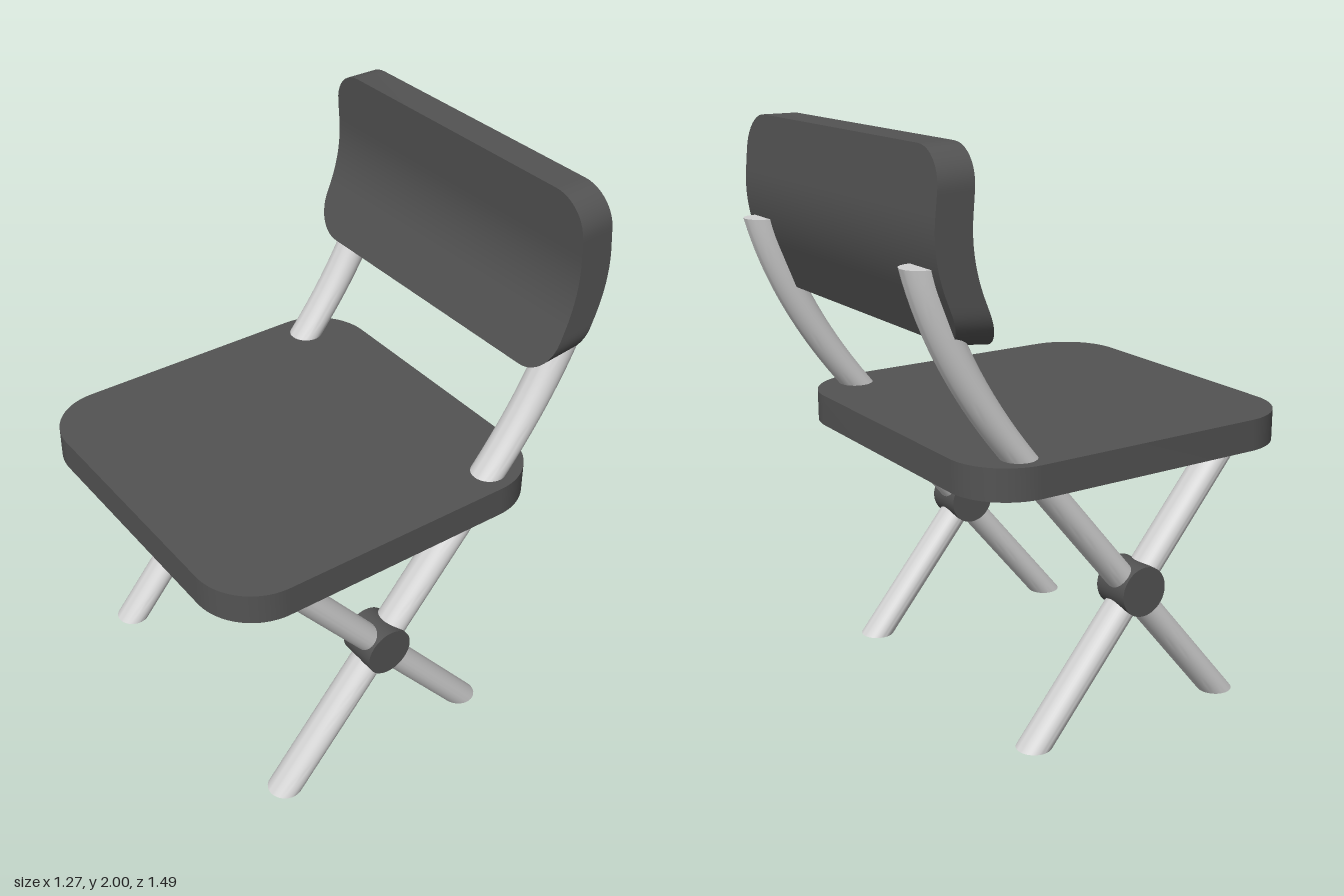
import * as THREE from 'three';
import { toCreasedNormals } from 'three/addons/utils/BufferGeometryUtils.js';

const HALF_WIDTH = 0.637;

// Tube with horizontal circular sections whose centre follows z = path(y)
function sweptPole(y0, y1, segments, path) {
  const geo = new THREE.CylinderGeometry(0.061, 0.061, y1 - y0, 40, segments);
  geo.translate(0, (y0 + y1) / 2, 0);
  const pos = geo.attributes.position;
  for (let i = 0; i < pos.count; i++) pos.setZ(i, pos.getZ(i) + path(pos.getY(i)));
  return toCreasedNormals(geo, 0.7);
}

// Long pole: straight leg up to the seat, then bending upright behind the backrest
function longPolePath(y) {
  const u = Math.max(0, y - 1);
  return 0.5 - 0.829 * y + 0.433 * u * u;
}

// Short pole: straight leg leaning the other way
const shortPolePath = (y) => -0.28 + 0.832 * y;

// Seat slab with rounded corners
function seatGeometry() {
  const w = HALF_WIDTH, z0 = -0.527, z1 = 0.745, r = 0.21;
  const s = new THREE.Shape();
  s.moveTo(-w + r, -z1);
  s.lineTo(w - r, -z1);
  s.absarc(w - r, -z1 + r, r, -Math.PI / 2, 0);
  s.lineTo(w, -z0 - r);
  s.absarc(w - r, -z0 - r, r, 0, Math.PI / 2);
  s.lineTo(-w + r, -z0);
  s.absarc(-w + r, -z0 - r, r, Math.PI / 2, Math.PI);
  s.lineTo(-w, -z1 + r);
  s.absarc(-w + r, -z1 + r, r, Math.PI, Math.PI * 1.5);
  const geo = new THREE.ExtrudeGeometry(s, { depth: 0.11, bevelEnabled: false, curveSegments: 14 });
  geo.rotateX(-Math.PI / 2);
  geo.translate(0, 0.906, 0);
  return toCreasedNormals(geo, 0.6);
}

// Front curve of the backrest: leaning below, easing to upright above
function backrestFront(y) {
  const a = Math.min(Math.max(y - 1.55, 0), 0.25);
  const straight = -0.46 - 0.4 * (Math.min(y, 1.55) - 1.39);
  return straight - 0.4 * a + 0.96 * a * a + 0.08 * Math.max(0, y - 1.8);
}

// Backrest built from four-cornered rows stacked in y
function backrestGeometry() {
  const y0 = 1.39, y1 = 2, r = 0.125, rows = [];
  const steps = 10, inner = 20;
  for (let i = 0; i <= steps; i++) {
    const t = (i / steps) * Math.PI / 2;
    rows.push([y0 + r * (1 - Math.cos(t)), HALF_WIDTH - r + r * Math.sin(t)]);
  }
  for (let i = 1; i < inner; i++) rows.push([y0 + r + (y1 - y0 - 2 * r) * i / inner, HALF_WIDTH]);
  for (let i = 0; i <= steps; i++) {
    const t = (i / steps) * Math.PI / 2;
    rows.push([y1 - r + r * Math.sin(t), HALF_WIDTH - r + r * Math.cos(t)]);
  }
  const verts = [], index = [];
  rows.forEach(([y, w], i) => {
    const k = (y1 - y) / (y1 - y0);
    const front = backrestFront(y), back = front - 0.121 - 0.012 * k, backY = y + 0.018 * k;
    verts.push(w, y, front, w, backY, back, -w, backY, back, -w, y, front);
    if (i === 0) return;
    for (let j = 0; j < 4; j++) {
      const a = (i - 1) * 4 + j, b = (i - 1) * 4 + (j + 1) % 4;
      index.push(a, b, b + 4, a, b + 4, a + 4);
    }
  });
  const n = (rows.length - 1) * 4;
  index.push(0, 2, 1, 0, 3, 2, n, n + 1, n + 2, n, n + 2, n + 3);
  const geo = new THREE.BufferGeometry();
  geo.setAttribute('position', new THREE.Float32BufferAttribute(verts, 3));
  geo.setIndex(index);
  return toCreasedNormals(geo, 0.6);
}

export function createModel() {
  const charcoal = new THREE.MeshStandardMaterial({ color: 0x535353 });
  charcoal.name = 'charcoal';
  const lightGrey = new THREE.MeshStandardMaterial({ color: 0xd2d2d2 });
  lightGrey.name = 'light grey';

  const model = new THREE.Group();
  model.name = 'foldingChair';
  const add = (name, geo, mat, x = 0) => {
    const mesh = new THREE.Mesh(geo, mat);
    mesh.name = name;
    mesh.position.x = x;
    model.add(mesh);
    return mesh;
  };

  add('seat', seatGeometry(), charcoal);
  add('backrest', backrestGeometry(), charcoal);

  // Crossed poles and pivot hub on each side
  const longPole = sweptPole(0, 1.652, 40, longPolePath);
  const shortPole = sweptPole(0, 0.95, 1, shortPolePath);
  const hub = new THREE.CylinderGeometry(0.087, 0.087, 0.145, 40);
  hub.rotateZ(Math.PI / 2);
  hub.translate(0, 0.483, 0.112);
  for (const [side, x] of [['left', 0.536], ['right', -0.536]]) {
    add(side + 'LongPole', longPole, lightGrey, x);
    add(side + 'ShortPole', shortPole, lightGrey, x);
    add(side + 'PivotHub', hub, charcoal, x);
  }
  return model;
}
